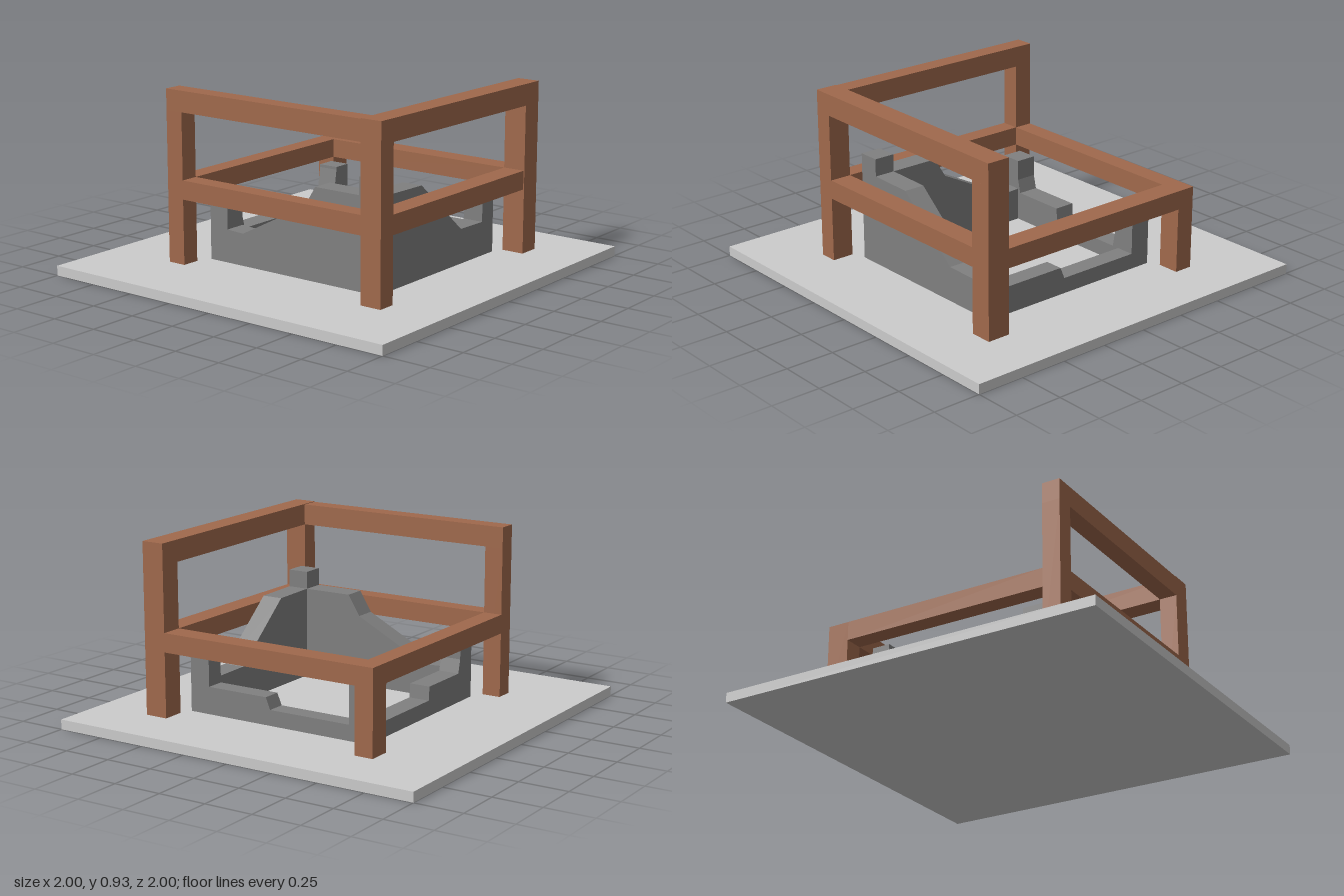
import * as THREE from 'three';

const BASE = 0.05;
const paint = (color) => new THREE.MeshStandardMaterial({ color, flatShading: true });

export function createModel() {
  const model = new THREE.Group();
  const ground = paint(0xcccccc), stone = paint(0x808080), wood = paint(0xa0694c);

  const add = (parent, name, geometry, material) => {
    const mesh = new THREE.Mesh(geometry, material);
    mesh.name = name;
    parent.add(mesh);
    return mesh;
  };
  // Box given by its limits on each axis
  const block = (parent, name, material, [x0, x1], [y0, y1], [z0, z1]) => {
    const g = new THREE.BoxGeometry(x1 - x0, y1 - y0, z1 - z0);
    g.translate((x0 + x1) / 2, (y0 + y1) / 2, (z0 + z1) / 2);
    return add(parent, name, g, material);
  };
  const group = (name) => {
    const g = new THREE.Group();
    g.name = name;
    model.add(g);
    return g;
  };

  block(model, 'groundSlab', ground, [-1, 1], [0, BASE], [-1, 1]);

  // Ruined walls: four corner piers joined by broken wall profiles
  const ruin = group('ruinedWalls');
  const west = [-0.48, -0.37], east = [0.445, 0.555];
  const north = [-0.535, -0.438], south = [0.327, 0.44];
  block(ruin, 'pierFrontLow', stone, west, [BASE, 0.375], south);
  block(ruin, 'pierFrontTall', stone, east, [BASE, 0.61], south);
  block(ruin, 'pierBackWest', stone, west, [BASE, 0.375], north);
  block(ruin, 'pierBackEast', stone, east, [BASE, 0.39], north);

  // Top edge listed as [position, height]; the wall runs along x or z
  const wall = (name, axis, [d0, d1], top) => {
    const s = axis === 'x' ? 1 : -1;
    const ends = [[top[top.length - 1][0], BASE], [top[0][0], BASE]];
    const shape = new THREE.Shape([...top, ...ends].map(([u, h]) => new THREE.Vector2(s * u, h)));
    const g = new THREE.ExtrudeGeometry(shape, { depth: d1 - d0, bevelEnabled: false });
    if (axis === 'z') g.rotateY(Math.PI / 2).translate(d0, 0, 0);
    else g.translate(0, 0, d0);
    add(ruin, name, g, stone);
  };
  wall('frontWall', 'x', south,
    [[-0.37, 0.22], [-0.27, 0.215], [0.12, 0.415], [0.185, 0.52], [0.445, 0.52]]);
  wall('backWall', 'x', north,
    [[-0.37, 0.13], [0.08, 0.13], [0.105, 0.19], [0.445, 0.19]]);
  wall('eastWall', 'z', east,
    [[-0.438, 0.225], [-0.25, 0.228], [0.09, 0.515], [0.327, 0.52]]);
  wall('westWall', 'z', west,
    [[-0.438, 0.36], [-0.4, 0.13], [0.018, 0.13], [0.024, 0.2], [0.31, 0.2], [0.327, 0.27]]);

  // Timber frame: three tall posts and one short post
  const frame = group('timberFrame');
  const px0 = [-0.61, -0.512], px1 = [0.58, 0.695];
  const pz0 = [-0.708, -0.593], pz1 = [0.51, 0.605];
  block(frame, 'frontWestPost', wood, px0, [BASE, 0.82], pz1);
  block(frame, 'frontEastPost', wood, px1, [BASE, 0.82], pz1);
  block(frame, 'backEastPost', wood, [0.58, 0.7], [BASE, 0.812], pz0);
  block(frame, 'backWestPost', wood, px0, [BASE, 0.48], pz0);

  // Lower rails on all sides
  const mid = [0.383, 0.48], gapX = [px0[1], px1[0]], gapZ = [pz0[1], pz1[0]];
  block(frame, 'frontLowerRail', wood, gapX, mid, pz1);
  block(frame, 'backLowerRail', wood, gapX, mid, pz0);
  block(frame, 'westLowerRail', wood, px0, mid, gapZ);
  block(frame, 'eastLowerRail', wood, px1, mid, gapZ);

  // Upper rails on the front and east sides only
  block(frame, 'frontUpperRail', wood, [px0[0], px1[0]], [0.82, 0.927], pz1);
  const upper = block(frame, 'eastUpperRail', wood, px1, [0.82, 0.93], [pz0[0], pz1[1]]);
  // The east rail dips and flares slightly towards the back
  const p = upper.geometry.attributes.position;
  for (let i = 0; i < p.count; i++) {
    if (p.getZ(i) > 0) continue;
    p.setY(i, p.getY(i) - 0.009);
    if (p.getX(i) > 0.65) p.setX(i, 0.7);
  }
  upper.geometry.computeVertexNormals();

  return model;
}
